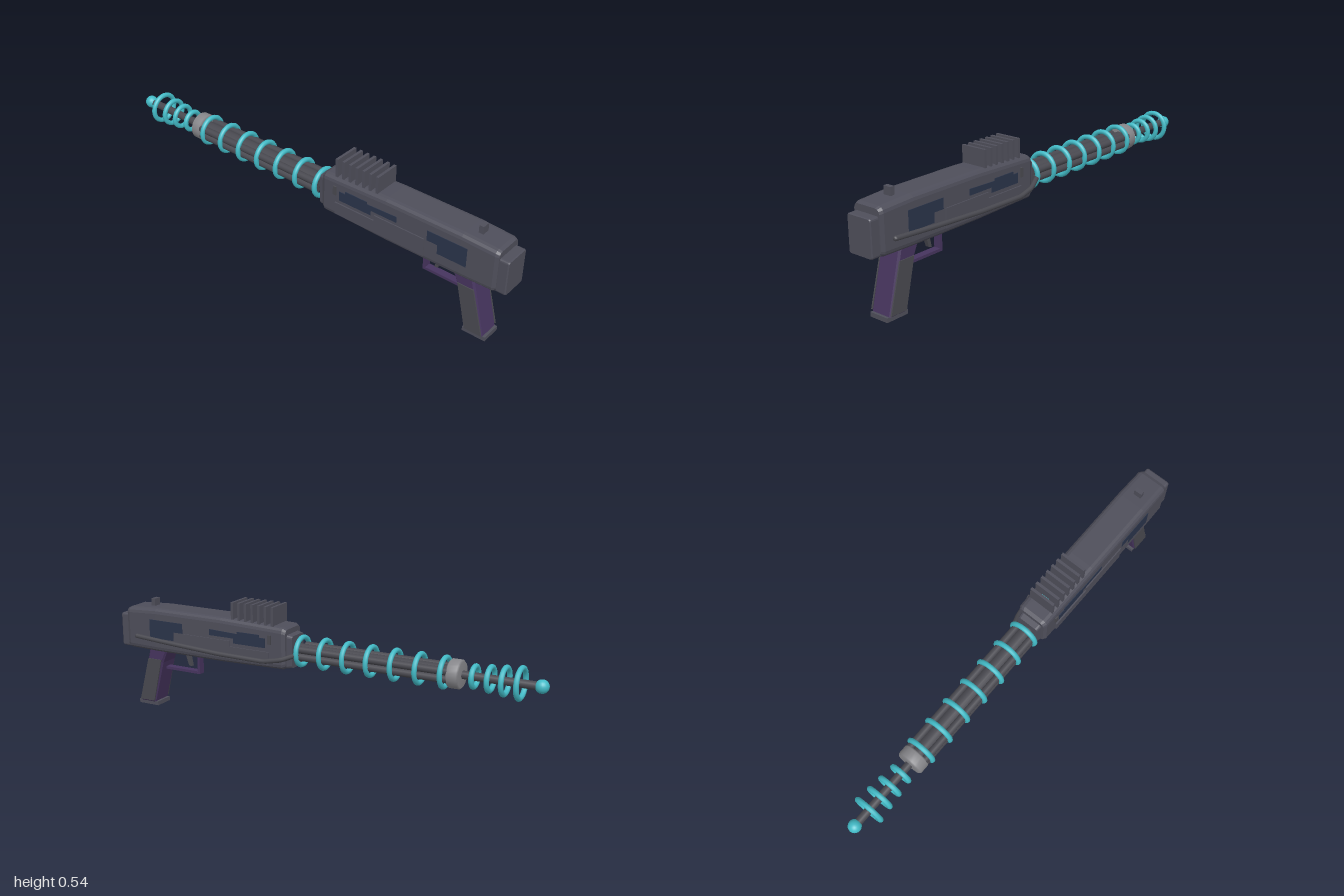
import * as THREE from 'three';

const CX = -0.011; // centre plane of the body
const AY = 0.355;  // height of the barrel axis

export function createModel() {
  const model = new THREE.Group();
  model.name = 'coilBlaster';
  const paint = (name, color) => {
    const m = new THREE.MeshStandardMaterial({ color });
    m.name = name;
    return m;
  };
  const gunmetal = paint('gunmetal', 0x4e4e5a);
  const steel = paint('dark steel', 0x494950);
  const purple = paint('purple', 0x46345e);
  const teal = paint('teal', 0x42bac6);
  const silver = paint('silver', 0x86868a);
  const navy = paint('navy', 0x2a344a);

  const add = (name, geo, mat, x = 0, y = 0, z = 0) => {
    const mesh = new THREE.Mesh(geo, mat);
    mesh.name = name;
    mesh.position.set(x, y, z);
    model.add(mesh);
    return mesh;
  };
  const box = (name, mat, x0, x1, y0, y1, z0, z1) =>
    add(name, new THREE.BoxGeometry(x1 - x0, y1 - y0, z1 - z0), mat,
      (x0 + x1) / 2, (y0 + y1) / 2, (z0 + z1) / 2);

  // Side outline of [z, y] points extruded from x0 to x1
  const slab = (name, mat, pts, x0, x1, bevel = 0) => {
    const shape = new THREE.Shape(pts.map(([z, y]) => new THREE.Vector2(-z, y)));
    const geo = new THREE.ExtrudeGeometry(shape, {
      depth: x1 - x0 - 2 * bevel, bevelEnabled: bevel > 0, bevelSize: bevel,
      bevelThickness: bevel, bevelOffset: -bevel, bevelSegments: 1,
    });
    geo.translate(0, 0, x0 + bevel);
    geo.rotateY(Math.PI / 2);
    return add(name, geo, mat);
  };

  // Loft of rounded rectangles along z; stations are [z, halfWidth, bottom, top, radius]
  const loft = (name, mat, stations) => {
    const pos = [], idx = [], n = 16;
    for (const [z, w, y0, y1, r] of stations) {
      for (let q = 0; q < 4; q++) {
        const sx = q === 0 || q === 3 ? 1 : -1, sy = q < 2 ? 1 : -1;
        for (let k = 0; k < 4; k++) {
          const a = (q + k / 3) * Math.PI / 2;
          pos.push(CX + sx * (w - r) + r * Math.cos(a),
            (sy > 0 ? y1 - r : y0 + r) + r * Math.sin(a), z);
        }
      }
    }
    const last = (stations.length - 1) * n;
    for (let i = 0; i < last; i += n) {
      for (let j = 0; j < n; j++) {
        const a = i + j, b = i + (j + 1) % n;
        idx.push(a, b, b + n, a, b + n, a + n);
      }
    }
    for (let j = 1; j < n - 1; j++) idx.push(last, last + j, last + j + 1, 0, j + 1, j);
    const geo = new THREE.BufferGeometry();
    geo.setAttribute('position', new THREE.Float32BufferAttribute(pos, 3));
    geo.setIndex(idx);
    const flat = geo.toNonIndexed();
    flat.computeVertexNormals();
    return add(name, flat, mat);
  };

  // Receiver with its stock and nose caps
  loft('receiver', gunmetal, [
    [0.125, 0.064, 0.285, 0.452, 0.02],
    [0.14, 0.072, 0.276, 0.461, 0.024],
    [0.45, 0.074, 0.27, 0.472, 0.024],
    [0.8, 0.074, 0.27, 0.472, 0.024],
    [0.945, 0.072, 0.272, 0.464, 0.024],
    [0.96, 0.065, 0.279, 0.457, 0.02],
  ]);
  loft('stockCap', gunmetal, [
    [0.95, 0.06, 0.275, 0.43, 0.01], [0.995, 0.06, 0.275, 0.43, 0.01], [1.0, 0.057, 0.278, 0.427, 0.008],
  ]);
  loft('noseCap', gunmetal, [[0.1, 0.05, 0.285, 0.425, 0.012], [0.13, 0.053, 0.28, 0.43, 0.012]]);

  // Cooling fins, indicator and rear sight
  for (let i = 0; i < 7; i++) {
    const z = 0.193 + i * 0.0335;
    box('coolingFin', gunmetal, -0.07, 0.048, 0.455, 0.543, z - 0.006, z + 0.006);
  }
  box('indicator', teal, CX - 0.02, CX + 0.02, 0.46, 0.51, 0.201, 0.212);
  box('rearSight', gunmetal, -0.03, 0.006, 0.46, 0.503, 0.838, 0.858);

  // Side panels, mirrored
  for (const s of [-1, 1]) {
    const plate = (name, mat, pts, out = 0.079) => {
      const a = CX + s * 0.071, b = CX + s * out;
      slab(name, mat, pts, Math.min(a, b), Math.max(a, b));
    };
    plate('rearWindow', navy,
      [[0.83, 0.335], [0.7, 0.335], [0.7, 0.375], [0.65, 0.375], [0.65, 0.42], [0.83, 0.42]], 0.076);
    plate('frontWindow', navy,
      [[0.505, 0.388], [0.38, 0.388], [0.38, 0.366], [0.22, 0.366], [0.22, 0.408],
        [0.25, 0.408], [0.25, 0.42], [0.36, 0.42], [0.36, 0.41], [0.505, 0.415]], 0.076);
    plate('sidePanel', gunmetal,
      [[0.64, 0.295], [0.2, 0.295], [0.2, 0.35], [0.4, 0.35], [0.4, 0.375], [0.64, 0.375]]);
    plate('sideSlot', steel, [[0.205, 0.385], [0.19, 0.385], [0.19, 0.425], [0.205, 0.425]]);
  }

  // Conduit along the left side
  const path = new THREE.CurvePath();
  const bends = [[0.068, 0.335, 0.9], [0.073, 0.325, 0.72], [0.078, 0.313, 0.45],
    [0.078, 0.31, 0.22], [0.07, 0.325, 0.14], [0.045, 0.35, 0.075]].map((p) => new THREE.Vector3(...p));
  for (let i = 1; i < bends.length; i++) path.add(new THREE.LineCurve3(bends[i - 1], bends[i]));
  add('conduit', new THREE.TubeGeometry(path, 40, 0.0105, 8), steel);
  for (const p of [bends[0], bends[5]]) {
    add('conduitEnd', new THREE.SphereGeometry(0.0105, 8, 6), steel, p.x, p.y, p.z);
  }

  // Barrel: a core flanked by paired rods
  const rod = (name, mat, r, z0, z1, x = 0, y = 0) => {
    const geo = new THREE.CylinderGeometry(r, r, z1 - z0, 20);
    geo.rotateX(Math.PI / 2);
    return add(name, geo, mat, CX + x, AY + y, (z0 + z1) / 2);
  };
  rod('barrelCore', steel, 0.032, -0.62, 0.11);
  for (const x of [-0.04, 0.04]) {
    for (const y of [-0.016, 0.016]) rod('barrelRod', steel, 0.016, -0.62, 0.08, x, y);
  }
  rod('emitterRod', steel, 0.017, -0.96, -0.6);

  // Muzzle collar with chamfered rims
  const collar = new THREE.LatheGeometry([
    [0.001, -0.027], [0.053, -0.027], [0.06, -0.02], [0.06, 0.02], [0.053, 0.027], [0.001, 0.027],
  ].map((p) => new THREE.Vector2(...p)), 24);
  collar.rotateX(Math.PI / 2);
  add('muzzleCollar', collar, silver, CX, AY, -0.623);

  // Energy coils and tip
  const ring = (z, r) =>
    add('energyRing', new THREE.TorusGeometry(r - 0.011, 0.011, 10, 36), teal, CX, AY, z);
  for (let i = 0; i < 7; i++) ring(0.076 - i * 0.1085, 0.071);
  [[-0.7, 0.053], [-0.765, 0.059], [-0.825, 0.065], [-0.888, 0.072]].forEach(([z, r]) => ring(z, r));
  add('emitterTip', new THREE.SphereGeometry(0.028, 20, 14), teal, CX, AY, -0.972);

  // Grip with side panels and base plate
  slab('grip', purple, [[0.92, 0.016], [0.838, 0.016], [0.785, 0.215], [0.758, 0.278], [0.855, 0.278]],
    -0.062, 0.04, 0.008);
  for (const [a, b] of [[-0.066, -0.06], [0.038, 0.044]]) {
    slab('gripPanel', steel, [[0.917, 0.025], [0.839, 0.025], [0.79, 0.228], [0.862, 0.228]], a, b);
  }
  box('gripBase', gunmetal, -0.056, 0.034, 0.002, 0.021, 0.825, 0.93);

  // Trigger and guard
  slab('triggerGuard', purple,
    [[0.79, 0.178], [0.603, 0.178], [0.603, 0.278], [0.615, 0.278], [0.615, 0.19], [0.79, 0.19]],
    CX - 0.016, CX + 0.016);
  slab('trigger', steel, [[0.667, 0.21], [0.653, 0.207], [0.668, 0.278], [0.69, 0.278]],
    CX - 0.009, CX + 0.009);

  return model;
}
